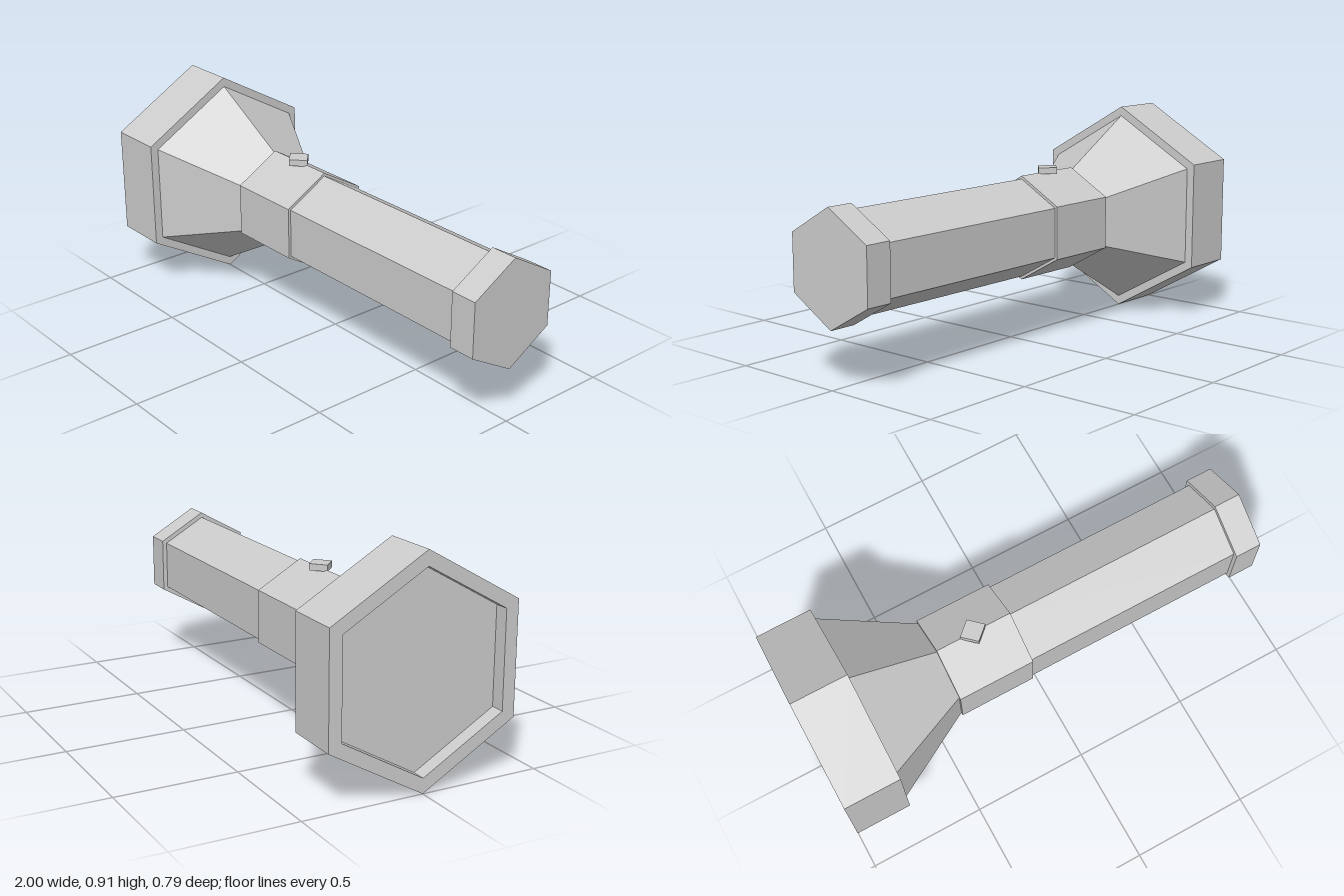
import * as THREE from 'three';

const AXIS_Y = 0.455;
const material = new THREE.MeshStandardMaterial({ color: 0xcccccc, flatShading: true });

// Lay a six-sided solid along x with a corner pointing up (its +y turns to -x)
function addAlongX(group, name, geometry, x) {
  geometry.rotateY(Math.PI / 2).rotateZ(Math.PI / 2);
  const mesh = new THREE.Mesh(geometry, material);
  mesh.name = name;
  mesh.position.set(x, AXIS_Y, 0);
  group.add(mesh);
}

// Hexagonal prism or frustum from x0 (radius r0) to x1 (radius r1)
function addHex(group, name, x0, x1, r0, r1 = r0) {
  addAlongX(group, name, new THREE.CylinderGeometry(r0, r1, x1 - x0, 6), (x0 + x1) / 2);
}

export function createModel() {
  const group = new THREE.Group();
  group.name = 'flashlight';

  // Head with a recessed lens
  const profile = [[0, 0.76], [0.455, 0.76], [0.455, 1], [0.394, 1], [0.394, 0.94], [0, 0.94]]
    .map(([r, y]) => new THREE.Vector2(r, y));
  addAlongX(group, 'head', new THREE.LatheGeometry(profile, 6), 0);

  // Reflector cone, collar, handle and end cap
  addHex(group, 'reflectorCone', -0.76, -0.4, 0.415, 0.207);
  addHex(group, 'collar', -0.4, -0.07, 0.22);
  addHex(group, 'handle', -0.07, 0.885, 0.207);
  addHex(group, 'endCap', 0.885, 1, 0.229);

  // Diamond-shaped switch on top of the collar
  const button = new THREE.Mesh(new THREE.CylinderGeometry(1, 1, 0.027, 4), material);
  button.name = 'switchButton';
  button.scale.set(0.057, 1, 0.052);
  button.position.set(-0.238, 0.6825, 0);
  group.add(button);

  return group;
}
